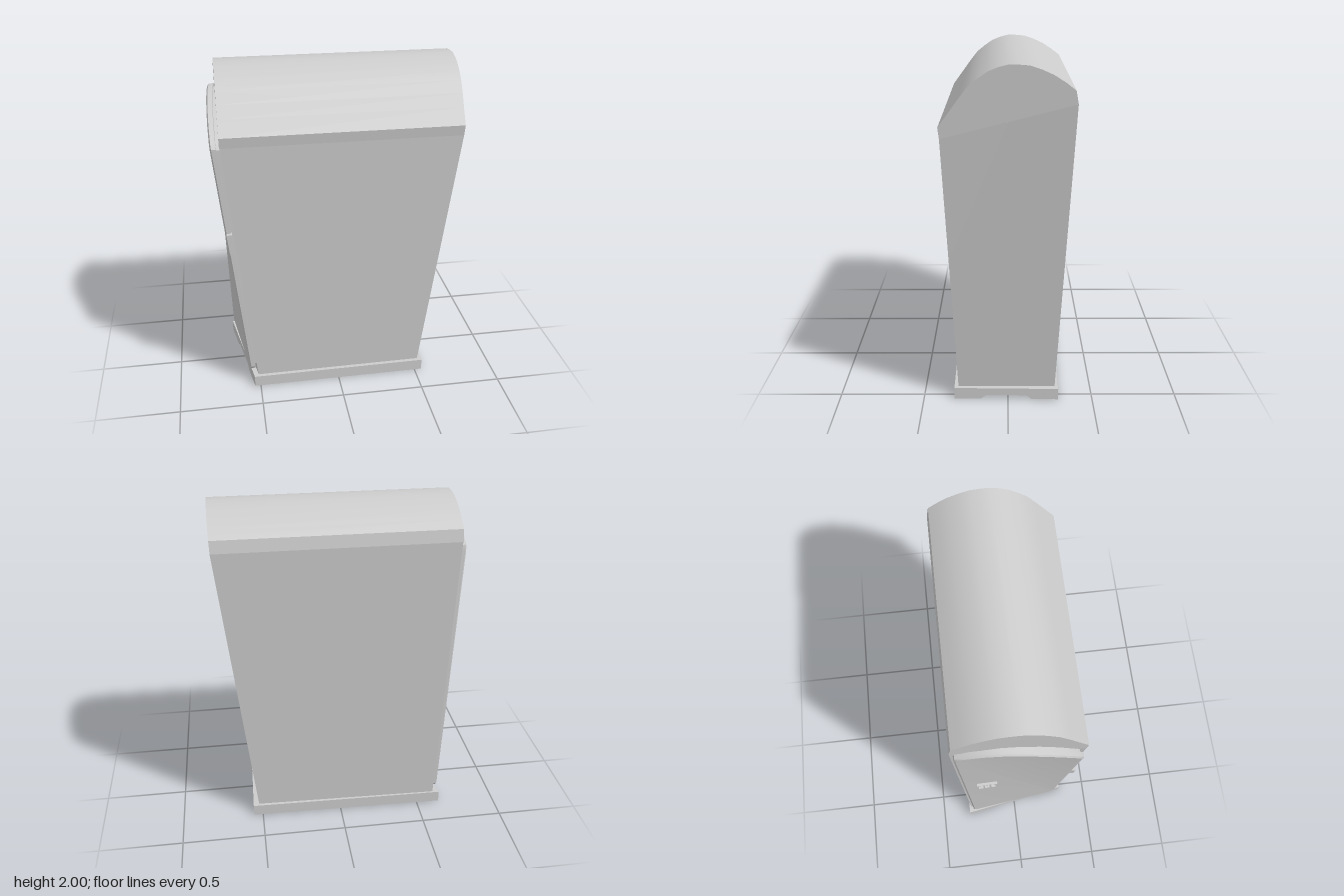
import * as THREE from 'three';
import { toCreasedNormals } from 'three/addons/utils/BufferGeometryUtils.js';

const grey = new THREE.MeshStandardMaterial({ color: 0xcccccc });

// Solid through matching loops of [x, y, z], listed from -x to +x,
// each loop running front-bottom, back-bottom, back-top, front-top.
function loft(name, loops, crease = 0.5) {
  const pos = [];
  const tri = (...pts) => pts.forEach((p) => pos.push(...p));
  const n = loops[0].length;
  for (let k = 0; k < loops.length - 1; k++) {
    for (let i = 0; i < n; i++) {
      const j = (i + 1) % n;
      const a = loops[k][i], b = loops[k][j], c = loops[k + 1][i], d = loops[k + 1][j];
      tri(a, b, c);
      tri(b, d, c);
    }
  }
  const cap = (loop, flip) => {
    const flat = loop.map((p) => new THREE.Vector2(-p[2], p[1]));
    for (const [a, b, c] of THREE.ShapeUtils.triangulateShape(flat, [])) {
      if (flip) tri(loop[a], loop[c], loop[b]);
      else tri(loop[a], loop[b], loop[c]);
    }
  };
  cap(loops[0], true);
  cap(loops[loops.length - 1], false);
  const geo = new THREE.BufferGeometry();
  geo.setAttribute('position', new THREE.Float32BufferAttribute(pos, 3));
  const mesh = new THREE.Mesh(toCreasedNormals(geo, crease), grey);
  mesh.name = name;
  return mesh;
}

const lerp = THREE.MathUtils.lerp;

// Outer surface of the slightly twisted door
function doorX(y, z) {
  const t = (y - 0.1) / 1.6;
  const f = (z + 0.33) / 0.66;
  return lerp(lerp(-0.642, -0.552, f), lerp(-0.688, -0.722, f), t);
}

// Door outline [y, z] with rounded corners and an arched top
const doorOutline = [
  [0.12, 0.285], [0.1, 0.27], [0.1, -0.275], [0.12, -0.29],
  [1.74, -0.337], [1.775, -0.33], [1.8, -0.27], [1.822, -0.19], [1.828, -0.1],
  [1.81, 0], [1.77, 0.11], [1.71, 0.22], [1.64, 0.315], [1.61, 0.335], [1.57, 0.335],
];

// Door outline pulled in by an inset and moved off the outer surface by a depth
function doorLoop(inset, depth) {
  return doorOutline.map(([y, z]) => {
    const yy = 0.96 + (y - 0.96) * (1 - inset / 0.86);
    const zz = z * (1 - inset / 0.31);
    return [doorX(yy, zz) + depth, yy, zz];
  });
}

// Small block lying on the door surface
function doorBlock(name, y0, y1, z0, z1, out, depth) {
  const corners = [[y0, z1], [y0, z0], [y1, z0], [y1, z1]];
  return loft(name, [-out, depth].map((d) => corners.map(([y, z]) => [doorX(y, z) + d, y, z])));
}

export function createModel() {
  const model = new THREE.Group();

  // Plinth with a bevelled channel along its underside
  const plinth = (xFront, xBack, zFront, zBack) =>
    [[0, zFront], [0, 0.16], [0.025, 0.13], [0.025, -0.11], [0, -0.14], [0, zBack],
      [0.07, zBack], [0.07, zFront]].map(([y, z]) =>
      [lerp(xBack, xFront, (z - zBack) / (zFront - zBack)), y, z]);
  model.add(loft('plinth', [
    plinth(-0.535, -0.645, 0.325, -0.32),
    plinth(0.545, 0.557, 0.318, -0.297),
  ]));

  // Tapered cabinet body with a sloping top edge
  model.add(loft('body', [
    [[-0.51, 0.07, 0.302], [-0.605, 0.07, -0.308], [-0.66, 1.8, -0.355], [-0.66, 1.62, 0.353]],
    [[0.52, 0.07, 0.295], [0.522, 0.07, -0.278], [0.705, 1.8, -0.355], [0.698, 1.62, 0.353]],
  ]));

  // Vaulted roof with short upright eaves
  const vault = [
    [1.62, 0.353], [1.8, -0.355], [1.87, -0.342], [1.91, -0.29], [1.948, -0.23], [1.975, -0.17],
    [1.995, -0.11], [2, -0.05], [2, 0], [1.987, 0.05], [1.967, 0.1], [1.933, 0.15],
    [1.893, 0.2], [1.83, 0.25], [1.765, 0.297], [1.68, 0.36],
  ];
  model.add(loft('roof', [
    vault.map(([y, z]) => [-0.662, y, z]),
    vault.map(([y, z]) => [0.698 + (y - 1.62) * 0.038, y, z]),
  ]));

  // Door panel with softened outer rim, and the seal behind it
  const door = new THREE.Group();
  door.name = 'door';
  door.add(loft('doorPanel', [doorLoop(0.01, 0), doorLoop(0, 0.008), doorLoop(0, 0.034)]));
  door.add(loft('doorSeal', [doorLoop(0.014, 0.03), doorLoop(0.014, 0.062)]));

  // Grip: frame and upright bars on the door face
  const grip = new THREE.Group();
  grip.name = 'grip';
  for (const y of [0.925, 1.02]) grip.add(doorBlock('gripRail', y, y + 0.01, -0.24, -0.12, 0.005, 0.01));
  for (let i = 0; i < 4; i++) {
    const z = -0.24 + i * 0.0367;
    grip.add(doorBlock('gripBar', 0.925, 1.03, z, z + 0.01, 0.005, 0.01));
  }
  door.add(grip);

  // Latch plate on the front edge of the door
  door.add(doorBlock('latch', 0.97, 1.09, 0.3, 0.342, -0.004, 0.036));
  model.add(door);

  // Lower hinge pin between door and plinth
  const pin = new THREE.Mesh(new THREE.CylinderGeometry(0.012, 0.012, 0.04, 12), grey);
  pin.name = 'hingePin';
  pin.position.set(-0.6, 0.085, -0.27);
  model.add(pin);

  return model;
}
